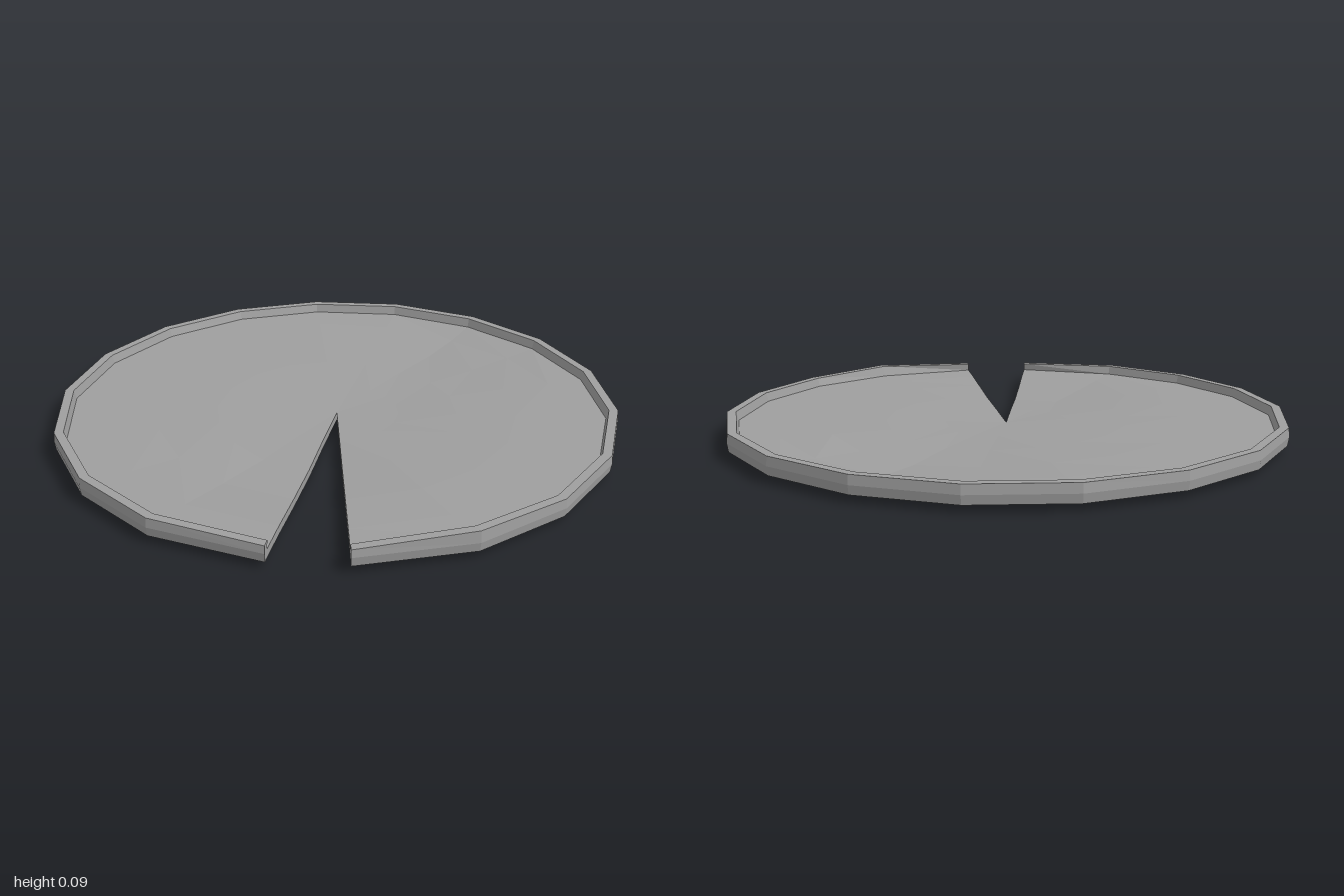
import * as THREE from 'three';

// Outline angles in degrees, measured from the back; the gap at the front is the notch
const ANGLES = [];
for (let a = -150; a <= 150; a += 20) ANGLES.push(a);
ANGLES.unshift(-172.7);
ANGLES.push(172.7);

const RADII = [0, 0.22, 0.43, 0.64, 0.82, 0.955]; // rings of the leaf
const DIPS = [[0.33, -0.57, 0.028], [-0.15, 0.45, 0.024], [0.05, -0.05, 0.017]];

// Gentle sag of the leaf, fading out at the rim
function sag(x, z) {
  let s = 0;
  for (const [cx, cz, d] of DIPS) s += d * Math.exp(-((x - cx) ** 2 + (z - cz) ** 2) / 0.08);
  return Math.min(s, 0.026) * Math.min(1, (1 - Math.hypot(x, z)) * 5);
}

function at(deg, r, y, wavy) {
  const a = THREE.MathUtils.degToRad(deg);
  const x = r * Math.sin(a), z = -r * Math.cos(a);
  return new THREE.Vector3(x, y - (wavy ? sag(x, z) : 0), z);
}

// Height of the rim's top edge: one raised corner, lower ends at the notch
function rimTop(deg) {
  return deg === 150 ? 0.1 : Math.abs(deg) > 170 ? 0.086 : 0.092;
}

// Closed section: underside outward, up over the slightly bulged rim, floor back inward
function section(deg) {
  const outer = Math.abs(deg) > 170 ? 0.986 : 0.998;
  const top = rimTop(deg);
  const under = RADII.map((r) => at(deg, r, 0.031, true));
  const floor = RADII.map((r) => at(deg, r, 0.06, true)).reverse();
  const rim = [
    at(deg, outer - 0.005, 0.029),
    at(deg, outer, 0.06),
    at(deg, outer - 0.003, top),
    at(deg, outer - 0.035, top),
  ];
  return [...under, ...rim, ...floor];
}

function buildPad() {
  const pos = [];
  const tri = (a, b, c) => {
    if (a.distanceTo(b) < 1e-6 || b.distanceTo(c) < 1e-6 || c.distanceTo(a) < 1e-6) return;
    for (const p of [a, b, c]) pos.push(p.x, p.y, p.z);
  };
  const quad = (a, b, c, d) => { tri(a, b, c); tri(a, c, d); };

  // Skin between neighbouring sections
  const rows = ANGLES.map(section);
  for (let i = 0; i < rows.length - 1; i++) {
    for (let j = 0; j < rows[i].length - 1; j++) {
      quad(rows[i][j], rows[i][j + 1], rows[i + 1][j + 1], rows[i + 1][j]);
    }
  }

  // Cut faces on both sides of the notch: thin leaf, then the rim's end
  const n = RADII.length;
  const cap = (s, flip) => {
    const face = (a, b, c, d) => (flip ? quad(d, c, b, a) : quad(a, b, c, d));
    for (let j = 0; j < n - 1; j++) face(s[j], s[j + 1], s[s.length - 2 - j], s[s.length - 1 - j]);
    face(s[n - 1], s[n], s[n + 1], s[n + 4]);
    face(s[n + 4], s[n + 1], s[n + 2], s[n + 3]);
  };
  cap(rows[0], true);
  cap(rows[rows.length - 1], false);

  const geo = new THREE.BufferGeometry();
  geo.setAttribute('position', new THREE.Float32BufferAttribute(pos, 3));
  geo.computeVertexNormals();
  return geo;
}

export function createModel() {
  const group = new THREE.Group();
  group.name = 'lilyPad';
  const leaf = new THREE.Mesh(
    buildPad(),
    new THREE.MeshStandardMaterial({ color: 0x9e9e9e, flatShading: true })
  );
  leaf.name = 'leaf';
  group.add(leaf);
  return group;
}
